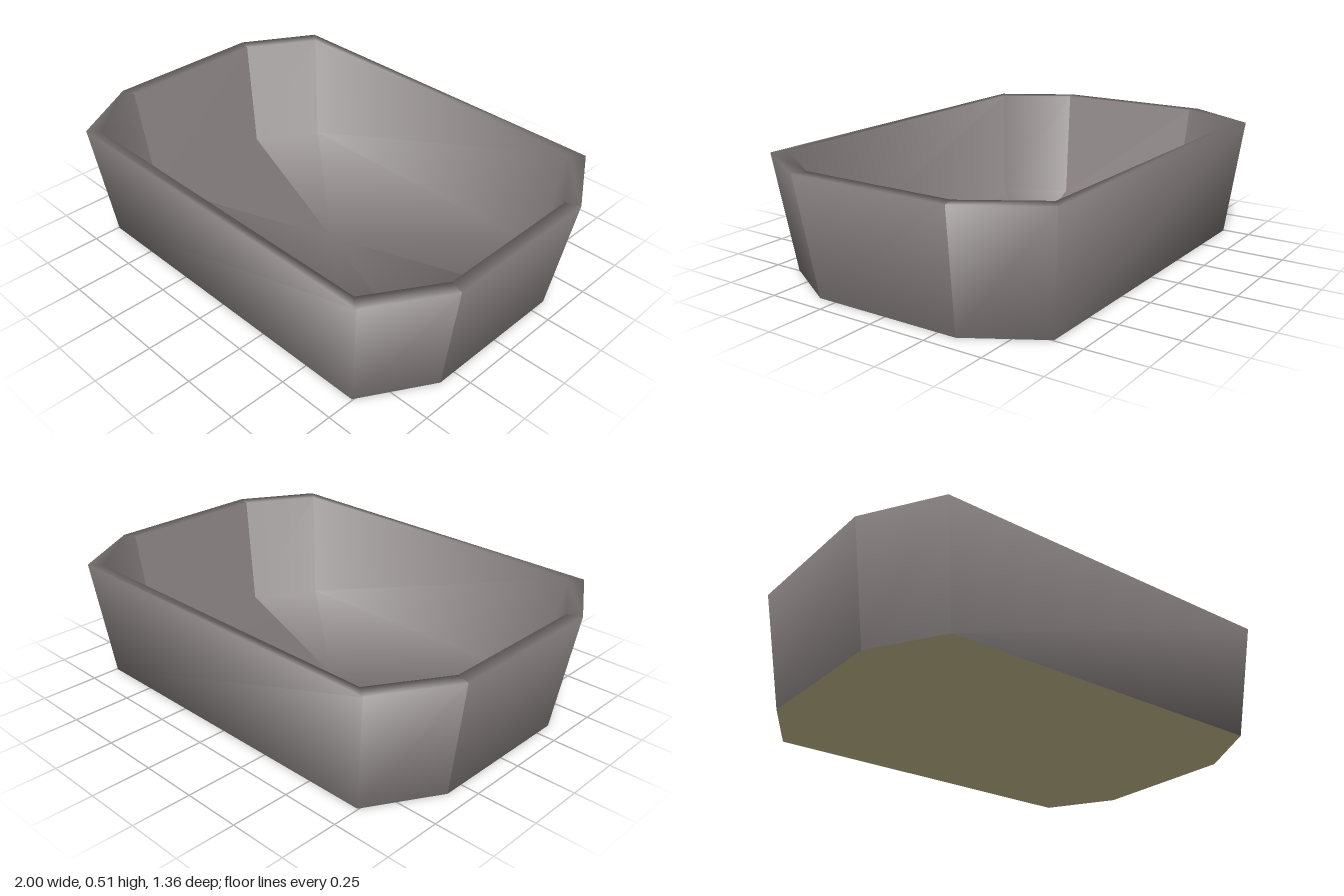
import * as THREE from 'three';

const bodyMat = new THREE.MeshStandardMaterial({ color: 0x7b7474 });
bodyMat.name = 'warm grey';
const baseMat = new THREE.MeshStandardMaterial({ color: 0xd2ca99 });
baseMat.name = 'pale olive';

// Octagon ring: side edge at (x, ±cz), end edge at (±cx, z)
const ring = (x, cz, cx, z, y) => [
  [x, y, -cz], [x, y, cz], [cx, y, z], [-cx, y, z],
  [-x, y, cz], [-x, y, -cz], [-cx, y, -z], [cx, y, -z],
];

// Cross-section from the outer foot over the flat rim to the floor edge;
// out is +1 on the outside and -1 on the inside, tilt is the upward lean of the normal
const floorY = 0.016;
const profile = [
  { points: ring(0.92, 0.33, 0.745, 0.628, 0), out: 1, tilt: -0.25 },
  { points: ring(1.0, 0.36, 0.81, 0.68, 0.51), out: 1, tilt: 0.7 },
  { points: ring(0.94, 0.34, 0.757, 0.637, 0.51), out: -1, tilt: 0.7 },
  { points: ring(0.87, 0.315, 0.7, 0.59, floorY), out: -1, tilt: 0.7 },
];

// One smooth panel covering a run of octagon corners, closed by a floor fan.
// directions holds the horizontal outward direction at each corner.
function panel(corners, directions) {
  const n = corners.length;
  const positions = [];
  const normals = [];
  const index = [];
  for (const { points, out, tilt } of profile) {
    const flat = out * Math.cos(tilt);
    corners.forEach((c, i) => {
      const [dx, dz] = directions[i];
      positions.push(...points[c]);
      normals.push(dx * flat, Math.sin(tilt), dz * flat);
    });
  }
  for (let r = 0; r < profile.length - 1; r++) {
    for (let i = 0; i < n - 1; i++) {
      const a = r * n + i;
      index.push(a, a + n, a + 1, a + 1, a + n, a + n + 1);
    }
  }
  const centre = profile.length * n;
  positions.push(0, floorY, 0);
  normals.push(0, 1, 0);
  for (let i = 0; i < n - 1; i++) index.push(centre - n + i, centre, centre - n + i + 1);
  const g = new THREE.BufferGeometry();
  g.setAttribute('position', new THREE.Float32BufferAttribute(positions, 3));
  g.setAttribute('normal', new THREE.Float32BufferAttribute(normals, 3));
  g.setIndex(index);
  return g;
}

export function createModel() {
  const model = new THREE.Group();
  model.name = 'tub';

  // Flat side walls, and end walls that run smoothly into the cut corners
  const side = panel([0, 1], [[1, 0], [1, 0]]);
  const end = panel([1, 2, 3, 4], [[0.86, 0.51], [0.49, 0.87], [-0.49, 0.87], [-0.86, 0.51]]);
  const walls = [
    ['leftWall', side, 0], ['frontWall', end, 0],
    ['rightWall', side, Math.PI], ['backWall', end, Math.PI],
  ];
  for (const [name, geometry, turn] of walls) {
    const mesh = new THREE.Mesh(geometry, bodyMat);
    mesh.name = name;
    mesh.rotation.y = turn;
    model.add(mesh);
  }

  // Flat underside
  const outline = profile[0].points.map(([x, , z]) => new THREE.Vector2(x, z));
  const underside = new THREE.Mesh(new THREE.ShapeGeometry(new THREE.Shape(outline)), baseMat);
  underside.rotation.x = Math.PI / 2;
  underside.name = 'underside';
  model.add(underside);

  return model;
}
